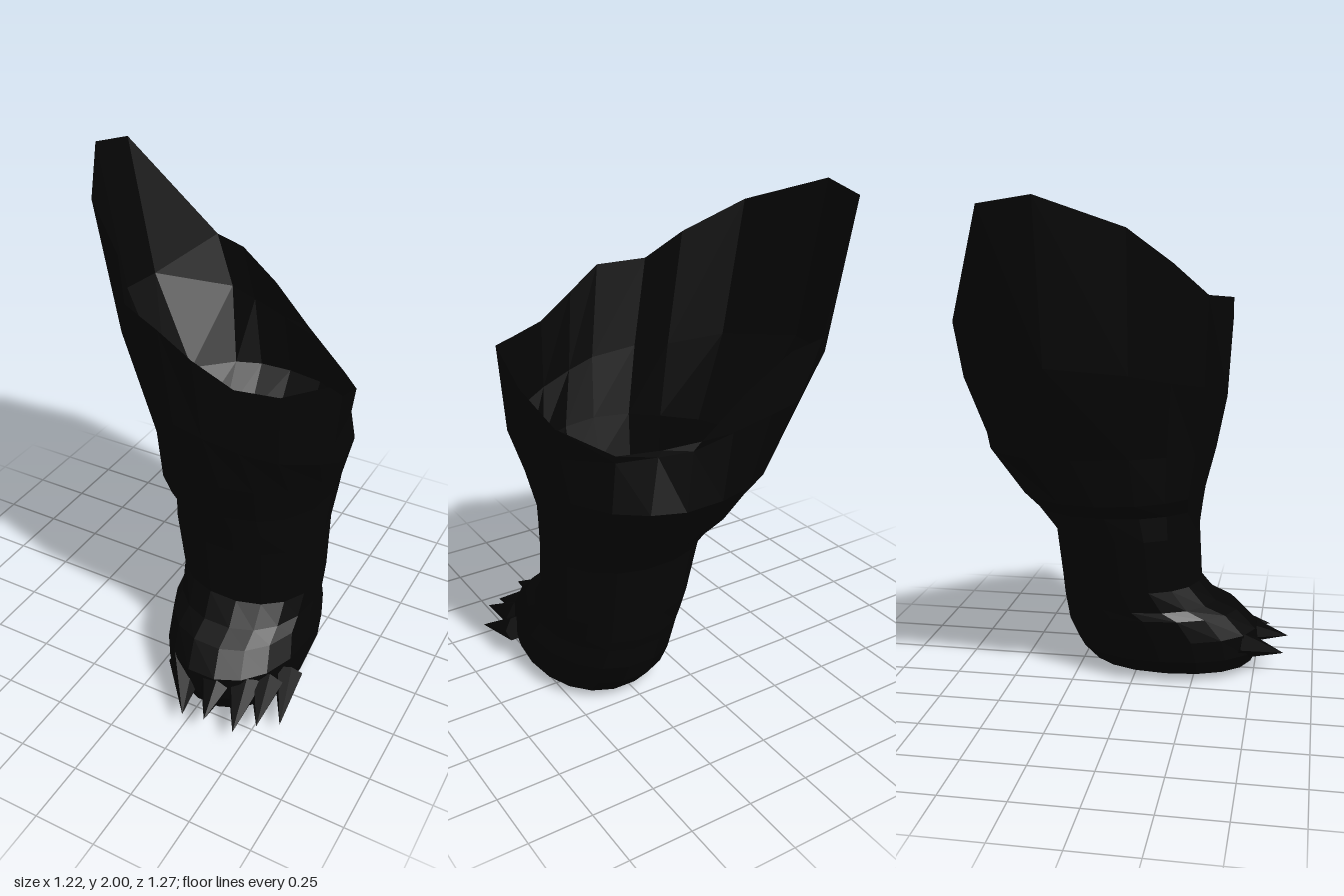
import * as THREE from 'three';

export function createModel() {
  const model = new THREE.Group();
  model.name = 'animalLeg';
  const fur = new THREE.MeshStandardMaterial({ color: 0x050505, flatShading: true, side: THREE.DoubleSide });
  fur.name = 'blackFur';

  // open slanted rim at the shoulder, from the outer tip round the front
  const rim = [
    [-0.61, 2, -0.23], [-0.44, 1.89, 0.06], [-0.24, 1.76, 0.2], [-0.14, 1.64, 0.32], [0.04, 1.62, 0.4],
    [0.17, 1.53, 0.39], [0.32, 1.44, 0.36], [0.47, 1.42, 0.3], [0.6, 1.44, 0.18], [0.59, 1.32, 0.02],
    [0.56, 1.23, -0.2], [0.43, 1.17, -0.4], [0.3, 1.2, -0.5], [0.19, 1.235, -0.575], [0.02, 1.39, -0.6],
    [-0.15, 1.51, -0.62], [-0.28, 1.54, -0.63], [-0.59, 1.97, -0.43],
  ];
  const sides = rim.length;

  // cross-sections: x min, x max, z min, z max, y at x min, y at x max, likeness to the rim outline
  const sections = [
    [-0.49, 0.58, -0.62, 0.378, 1.4, 1.1, 1],
    [-0.28, 0.57, -0.61, 0.33, 1.02, 0.96, 0.45],
    [-0.2, 0.54, -0.48, 0.285, 0.82, 0.81, 0.15],
    [-0.12, 0.535, -0.43, 0.272, 0.75, 0.74, 0.1],
    [-0.1, 0.53, -0.35, 0.258, 0.65, 0.64, 0],
    [-0.05, 0.53, -0.33, 0.268, 0.42, 0.4, 0],
    [-0.03, 0.53, -0.325, 0.34, 0.33, 0.32, 0],
    [-0.03, 0.535, -0.32, 0.43, 0.295, 0.28, 0],
    [-0.015, 0.56, -0.31, 0.51, 0.2, 0.2, 0],
    [0, 0.56, -0.27, 0.52, 0.11, 0.11, 0],
    [0.05, 0.54, -0.21, 0.49, 0.04, 0.04, 0],
    [0.13, 0.49, -0.14, 0.41, 0.005, 0.005, 0],
  ];
  const bulge = (v) => Math.sign(v) * Math.abs(v) ** 0.92;
  const rings = [rim];
  for (const [x0, x1, z0, z1, yl, yr, likeness] of sections) {
    rings.push(rim.map(([rx, , rz], i) => {
      const a = Math.PI - (i / sides) * Math.PI * 2;
      const u = THREE.MathUtils.lerp((bulge(Math.cos(a)) + 1) / 2, (rx + 0.61) / 1.21, likeness);
      const w = THREE.MathUtils.lerp((bulge(Math.sin(a)) + 1) / 2, (rz + 0.63) / 1.03, likeness);
      return [x0 + u * (x1 - x0), yl + u * (yr - yl), z0 + w * (z1 - z0)];
    }));
  }

  // leg skin between the rings, closed by the sole
  const positions = rings.flat(2);
  const index = [];
  for (let r = 0; r < rings.length - 1; r++) {
    for (let i = 0; i < sides; i++) {
      const j = (i + 1) % sides;
      const a = r * sides + i, b = r * sides + j, c = a + sides, d = b + sides;
      index.push(a, c, d, a, d, b);
    }
  }
  const last = (rings.length - 1) * sides;
  const center = rings.length * sides;
  positions.push(0.3, 0.015, 0.13);
  for (let i = 0; i < sides; i++) index.push(last + ((i + 1) % sides), last + i, center);
  const skin = new THREE.BufferGeometry();
  skin.setAttribute('position', new THREE.Float32BufferAttribute(positions, 3));
  skin.setIndex(index);
  skin.computeVertexNormals();
  const leg = new THREE.Mesh(skin, fur);
  leg.name = 'legAndPaw';
  model.add(leg);

  // pointed claws growing out of the paw: root, tip, root radius
  const claws = [
    [[0.17, 0.15, 0.42], [0.255, 0.08, 0.625], 0.085],
    [[0.315, 0.16, 0.44], [0.36, 0.12, 0.64], 0.08],
    [[0.42, 0.15, 0.41], [0.47, 0.08, 0.61], 0.075],
    [[0.49, 0.14, 0.36], [0.545, 0.1, 0.555], 0.07],
    [[0.545, 0.14, 0.27], [0.608, 0.065, 0.475], 0.06],
  ];
  for (const [rootAt, tipAt, radius] of claws) {
    const root = new THREE.Vector3(...rootAt), tip = new THREE.Vector3(...tipAt);
    const dir = tip.clone().sub(root);
    const claw = new THREE.Mesh(new THREE.ConeGeometry(radius, dir.length(), 6), fur);
    claw.name = 'claw';
    claw.position.copy(root).add(tip).multiplyScalar(0.5);
    claw.quaternion.setFromUnitVectors(new THREE.Vector3(0, 1, 0), dir.normalize());
    claw.scale.z = 0.85;
    model.add(claw);
  }
  return model;
}
